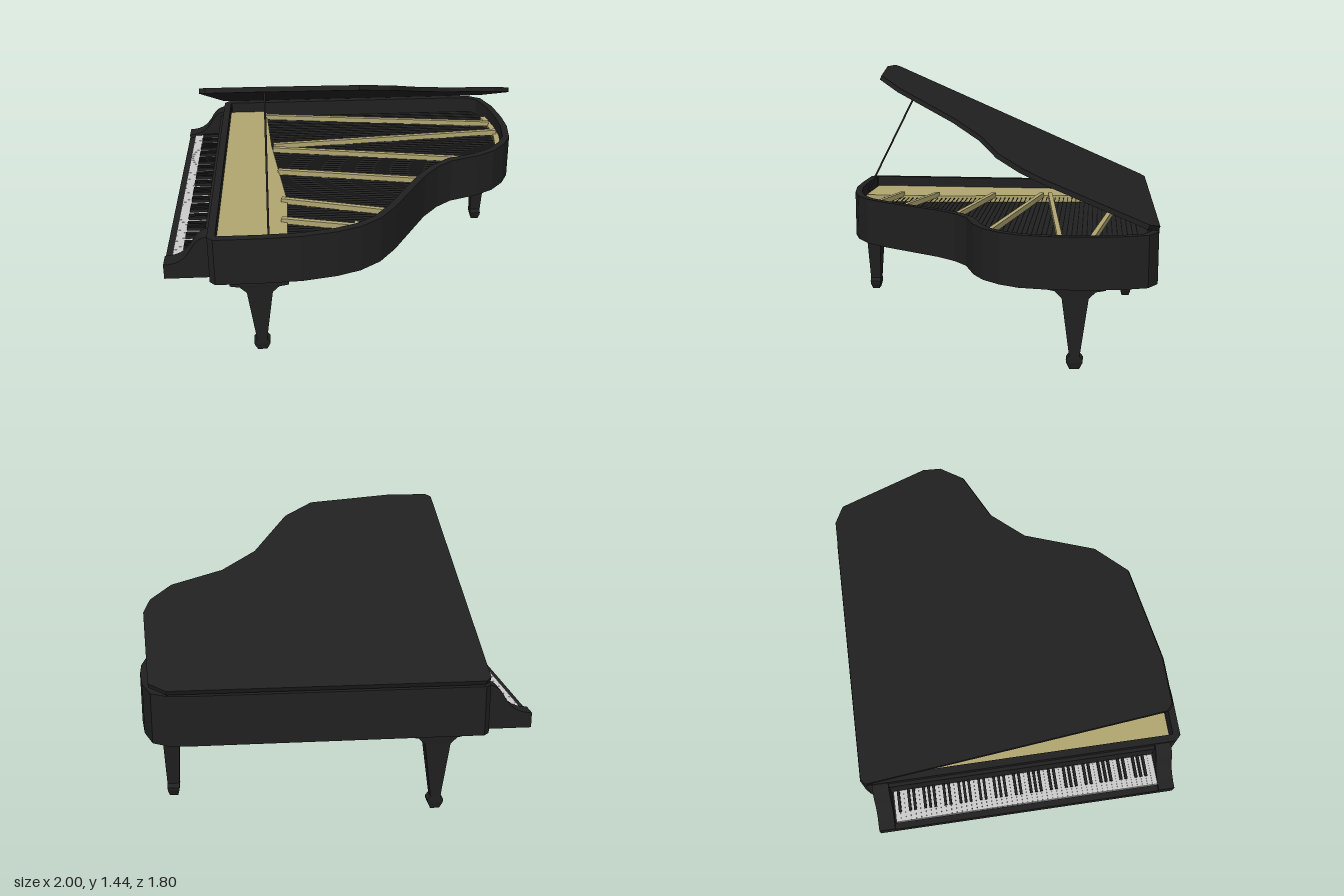
import * as THREE from 'three';

const black = new THREE.MeshStandardMaterial({ color: 0x202020, flatShading: true, side: THREE.DoubleSide });
const gold = new THREE.MeshStandardMaterial({ color: 0xb0a670, flatShading: true });
const white = new THREE.MeshStandardMaterial({ color: 0xcccccc });
const wire = new THREE.MeshStandardMaterial({ color: 0x383838 });

// Case outline as [x, z], starting on the straight spine side
const OUTLINE = [[-0.77, -0.87], [-0.74, -0.9], [0.7, -0.9], [0.84, -0.89], [0.92, -0.84], [0.97, -0.7], [0.995, -0.52],
  [1, -0.38], [0.98, -0.22], [0.93, -0.12], [0.85, -0.03], [0.75, 0.03], [0.58, 0.09], [0.49, 0.16], [0.4, 0.27],
  [0.3, 0.44], [0.2, 0.61], [0.11, 0.73], [0, 0.81], [-0.12, 0.855], [-0.3, 0.89], [-0.5, 0.9], [-0.74, 0.9], [-0.77, 0.87]];
const LID = [[-0.77, -0.86], [-0.74, -0.89], [0.84, -0.89], [0.93, -0.83], [0.98, -0.27], [0.95, -0.16], [0.84, -0.03],
  [0.56, 0.1], [0.37, 0.28], [0.17, 0.65], [0, 0.8], [-0.5, 0.88], [-0.74, 0.88], [-0.77, 0.85]];

function add(parent, name, geometry, material) {
  const m = new THREE.Mesh(geometry, material);
  m.name = name;
  parent.add(m);
  return m;
}

function box(parent, name, material, x0, x1, y0, y1, z0, z1) {
  const m = add(parent, name, new THREE.BoxGeometry(x1 - x0, y1 - y0, z1 - z0), material);
  m.position.set((x0 + x1) / 2, (y0 + y1) / 2, (z0 + z1) / 2);
  return m;
}

// Bar of rectangular section running from a to b
function bar(parent, name, material, a, b, w, h = w) {
  const from = new THREE.Vector3(...a), to = new THREE.Vector3(...b);
  const m = add(parent, name, new THREE.BoxGeometry(w, h, from.distanceTo(to)), material);
  m.position.copy(from).lerp(to, 0.5);
  m.lookAt(to);
  return m;
}

// Horizontal plate from an [x, z] outline
function slab(points, y, height, hole) {
  const flat = (list) => list.map(([x, z]) => new THREE.Vector2(x, -z));
  const shape = new THREE.Shape(flat(points));
  if (hole) shape.holes.push(new THREE.Path(flat(hole)));
  return new THREE.ExtrudeGeometry(shape, { depth: height, bevelEnabled: false }).rotateX(-Math.PI / 2).translate(0, y, 0);
}

// Outline moved inward by d with mitred corners
function inset(points, d) {
  const n = points.length;
  const normal = (a, b) => {
    const l = Math.hypot(b[0] - a[0], b[1] - a[1]);
    return [-(b[1] - a[1]) / l, (b[0] - a[0]) / l];
  };
  return points.map((p, i) => {
    const m = normal(points[(i + n - 1) % n], p), q = normal(p, points[(i + 1) % n]);
    const k = d / (1 + m[0] * q[0] + m[1] * q[1]);
    return [p[0] + k * (m[0] + q[0]), p[1] + k * (m[1] + q[1])];
  });
}

// Furthest x of an outline at a given z
function reach(points, z) {
  let best = -1;
  points.forEach((a, i) => {
    const b = points[(i + 1) % points.length];
    if ((a[1] - z) * (b[1] - z) < 0) best = Math.max(best, a[0] + (b[0] - a[0]) * (z - a[1]) / (b[1] - a[1]));
  });
  return best;
}

// Rectangular sections [y, half width, half depth] joined top to bottom
function loft(levels) {
  const pos = [], index = [];
  for (const [y, w, d] of levels) pos.push(-w, y, d, w, y, d, w, y, -d, -w, y, -d);
  for (let i = 0; i < levels.length - 1; i++) {
    for (let j = 0; j < 4; j++) {
      const a = i * 4 + j, b = i * 4 + (j + 1) % 4;
      index.push(a, a + 4, b, b, a + 4, b + 4);
    }
  }
  const e = (levels.length - 1) * 4;
  index.push(0, 1, 2, 0, 2, 3, e, e + 2, e + 1, e, e + 3, e + 2);
  const g = new THREE.BufferGeometry();
  g.setAttribute('position', new THREE.Float32BufferAttribute(pos, 3));
  g.setIndex(index);
  g.computeVertexNormals();
  return g;
}

export function createModel() {
  const piano = new THREE.Group();
  piano.name = 'grandPiano';

  // Case: rim, floor and soundboard
  const inner = inset(OUTLINE, 0.04);
  add(piano, 'rim', slab(OUTLINE, 0.44, 0.26, inner), black);
  add(piano, 'floor', slab(inset(OUTLINE, 0.02), 0.445, 0.03), black);
  add(piano, 'soundboard', slab(inset(OUTLINE, 0.03), 0.58, 0.02), black);

  // Metal frame: tuning plate, curved edge and struts
  const frame = new THREE.Group();
  frame.name = 'frame';
  piano.add(frame);
  add(frame, 'tuningPlate', slab([[-0.73, -0.85], [-0.5, -0.85], [-0.46, -0.3], [-0.37, 0.4], [-0.37, 0.85], [-0.73, 0.85]], 0.6, 0.04), gold);
  const edge = [...inset(OUTLINE, 0.045).slice(5, 19), ...inset(OUTLINE, 0.08).slice(5, 19).reverse()];
  add(frame, 'curvedEdge', slab(edge, 0.6, 0.035), gold);
  const struts = [[-0.4, 0.62, 0, 0.72], [-0.4, 0.4, 0.15, 0.56], [-0.42, 0.05, 0.38, 0.21], [-0.45, -0.25, 0.74, -0.03],
    [-0.45, -0.3, 0.94, -0.42], [-0.5, -0.75, 0.92, -0.55]];
  for (const [x0, z0, x1, z1] of struts) bar(frame, 'strut', gold, [x0, 0.645, z0], [x1, 0.645, z1], 0.025, 0.03);
  bar(frame, 'strutFoot', gold, [-0.035, 0.65, 0.78], [-0.01, 0.65, 0.68], 0.022, 0.02);
  for (let z = -0.8; z < 0.76; z += 0.026) {
    bar(piano, 'string', wire, [-0.5, 0.625, z], [reach(inner, z) - 0.03, 0.625, z], 0.004);
  }

  // Raised lid and its prop
  const lid = add(piano, 'lid', slab(LID.map(([x, z]) => [x, z + 0.89]), 0, 0.025), black);
  lid.position.set(0, 0.705, -0.885);
  lid.rotation.x = -0.411;
  bar(piano, 'lidProp', black, [-0.465, 0.64, 0.865], [-0.465, 1.325, 0.515], 0.01);

  // Keyboard bed, front rail and curved cheeks
  box(piano, 'keyBed', black, -0.99, -0.74, 0.45, 0.49, -0.83, 0.83);
  box(piano, 'keyRail', black, -1, -0.965, 0.45, 0.51, -0.8, 0.8);
  box(piano, 'fallboard', black, -0.79, -0.76, 0.45, 0.66, -0.75, 0.76);
  const cheek = new THREE.Shape();
  cheek.moveTo(-1, 0.45);
  cheek.lineTo(-1, 0.53);
  cheek.bezierCurveTo(-0.93, 0.535, -0.9, 0.55, -0.86, 0.61);
  cheek.bezierCurveTo(-0.83, 0.67, -0.8, 0.685, -0.76, 0.69);
  cheek.lineTo(-0.76, 0.45);
  for (const z of [-0.84, 0.75]) {
    add(piano, 'cheek', new THREE.ExtrudeGeometry(cheek, { depth: 0.09, bevelEnabled: false, curveSegments: 6 }), black).position.z = z;
  }

  // Keys, with raised keys in groups of two and three
  const pitch = 1.49 / 52;
  for (let i = 0; i < 52; i++) {
    const z = -0.74 + i * pitch;
    box(piano, 'whiteKey', white, -0.963, -0.785, 0.48, 0.53, z + 0.0004, z + pitch - 0.0004);
    if (i < 51 && ![1, 4].includes(i % 7)) {
      box(piano, 'blackKey', black, -0.91, -0.785, 0.525, 0.548, z + pitch - 0.0075, z + pitch + 0.0075);
    }
  }

  // Tapered legs with spreading brackets
  const legShape = loft([[0.445, 0.15, 0.05], [0.415, 0.15, 0.05], [0.405, 0.1, 0.048], [0.37, 0.066, 0.045], [0.07, 0.026, 0.032],
    [0.05, 0.042, 0.032], [0.035, 0.04, 0.031], [0, 0.024, 0.022]]);
  for (const [x, z, turn] of [[-0.52, 0.83, 0], [-0.52, -0.78, 0], [0.85, -0.49, Math.PI / 2]]) {
    const leg = add(piano, 'leg', legShape, black);
    leg.position.set(x, 0, z);
    leg.rotation.y = turn;
  }

  // Pedal box on posts, with braces and three pedals
  const pedals = new THREE.Group();
  pedals.name = 'pedals';
  piano.add(pedals);
  box(pedals, 'pedalBox', black, -0.722, -0.678, 0.095, 0.142, -0.15, 0.08);
  for (const z of [-0.1, 0.045]) {
    box(pedals, 'post', black, -0.709, -0.691, 0.14, 0.46, z - 0.009, z + 0.009);
    bar(pedals, 'brace', gold, [-0.685, 0.13, z], [-0.43, 0.45, z], 0.009);
  }
  for (const z of [-0.09, -0.035, 0.02]) {
    box(pedals, 'pedalArm', gold, -0.78, -0.7, 0.116, 0.126, z - 0.008, z + 0.008);
    box(pedals, 'pedal', gold, -0.84, -0.77, 0.116, 0.127, z - 0.013, z + 0.013);
  }
  return piano;
}
